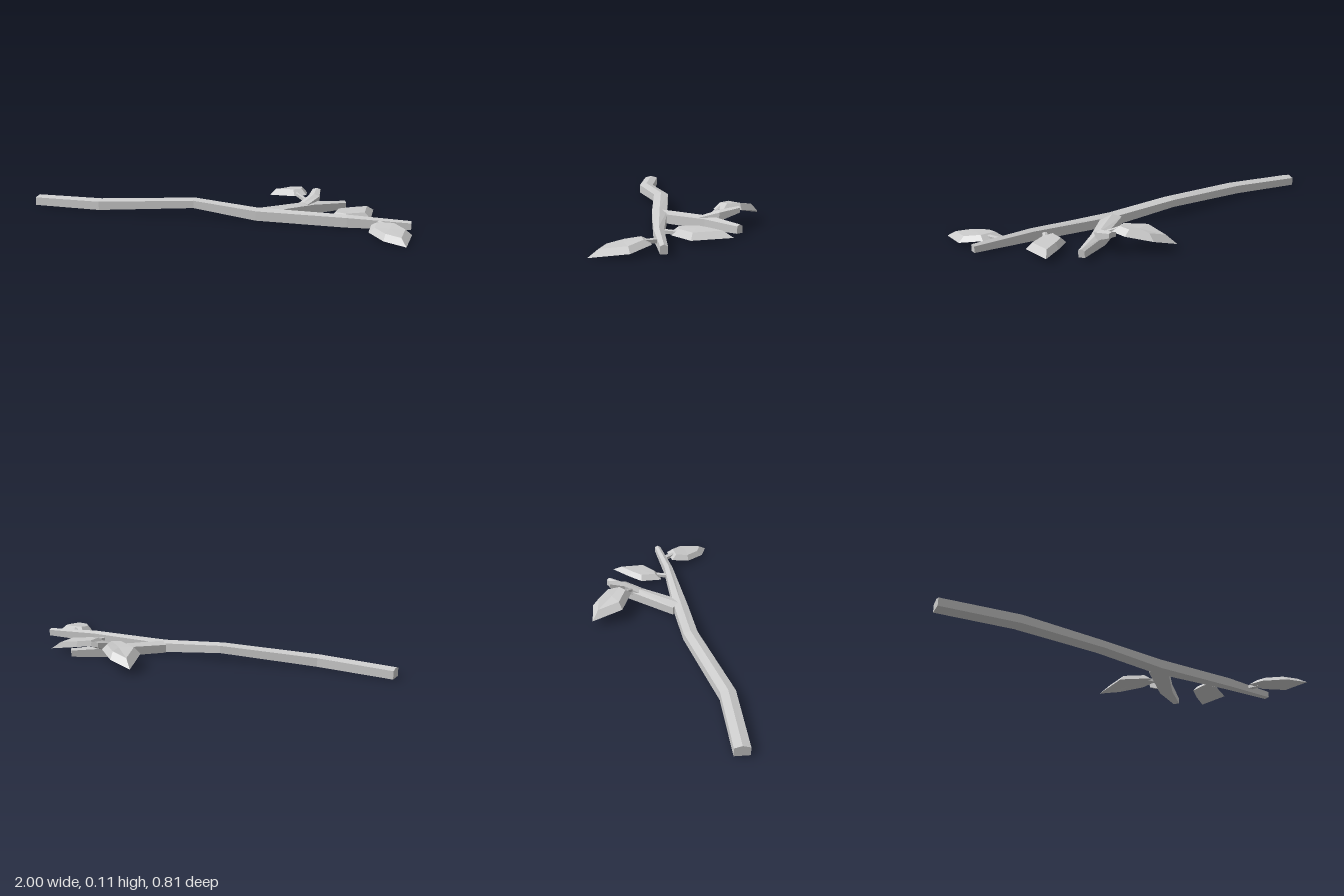
import * as THREE from 'three';

const material = new THREE.MeshStandardMaterial({ color: 0xcccccc, flatShading: true });

function makeMesh(name, points, index) {
  const indexed = new THREE.BufferGeometry();
  indexed.setAttribute('position', new THREE.Float32BufferAttribute(points.flat(), 3));
  indexed.setIndex(index);
  const geometry = indexed.toNonIndexed();
  geometry.computeVertexNormals();
  const mesh = new THREE.Mesh(geometry, material);
  mesh.name = name;
  return mesh;
}

// Five-sided limb with a low top ridge; stations are [x, z, half width, bottom y, top y]
const PROFILE = [[-1, 0], [1, 0], [1, 0.8], [0, 1], [-1, 0.8]];

function limb(name, stations) {
  const n = PROFILE.length, points = [], index = [];
  stations.forEach(([x, z, half, y0, y1], i) => {
    const a = stations[Math.max(i - 1, 0)];
    const b = stations[Math.min(i + 1, stations.length - 1)];
    const dir = new THREE.Vector2(b[0] - a[0], b[1] - a[1]).normalize();
    for (const [u, v] of PROFILE) {
      points.push([x - dir.y * u * half, y0 + (y1 - y0) * v, z + dir.x * u * half]);
    }
    if (i === 0) return;
    for (let k = 0; k < n; k++) {
      const p = (i - 1) * n + k, q = (i - 1) * n + (k + 1) % n;
      index.push(p, p + n, q, p + n, q + n, q);
    }
  });
  const last = (stations.length - 1) * n;
  for (let k = 1; k < n - 1; k++) {
    index.push(0, k, k + 1, last, last + k + 1, last + k);
  }
  return makeMesh(name, points, index);
}

// Thick bevelled leaf: outline runs clockwise from above, starting at the tip
function leaf(name, outline, thickness, inset = 0.7) {
  const n = outline.length;
  const centre = [0, 1, 2].map((c) => outline.reduce((sum, p) => sum + p[c], 0) / n);
  const top = outline.map((p) => {
    const q = p.map((v, c) => centre[c] + (v - centre[c]) * inset);
    return [q[0], q[1] + thickness, q[2]];
  });
  const points = [...outline, ...top, centre, [centre[0], centre[1] + thickness, centre[2]]];
  const index = [];
  for (let k = 0; k < n; k++) {
    const j = (k + 1) % n;
    index.push(2 * n, k, j);
    index.push(2 * n + 1, n + j, n + k);
    index.push(j, k, n + k, j, n + k, n + j);
  }
  return makeMesh(name, points, index);
}

export function createModel() {
  const model = new THREE.Group();
  model.name = 'leafyBranch';

  // Woody parts
  model.add(limb('mainBranch', [
    [-1, 0.075, 0.037, 0.003, 0.055],
    [-0.61, 0.117, 0.038, 0.01, 0.065],
    [-0.11, 0.055, 0.037, 0.04, 0.088],
    [0.23, 0.078, 0.037, 0.003, 0.062],
    [0.68, 0.102, 0.023, 0.003, 0.062],
    [0.98, 0.095, 0.016, 0.01, 0.05],
  ]));
  model.add(limb('sideBranch', [
    [0.24, 0.065, 0.05, 0.005, 0.058],
    [0.45, -0.145, 0.035, 0.005, 0.064],
    [0.61, -0.262, 0.016, 0.013, 0.054],
  ]));
  model.add(limb('upperTwig', [
    [0.42, -0.11, 0.03, 0.03, 0.062],
    [0.46, -0.19, 0.03, 0.045, 0.095],
    [0.455, -0.28, 0.02, 0.082, 0.11],
  ]));

  // Leaf stalks
  model.add(limb('backLeafStalk', [
    [0.44, -0.15, 0.01, 0.05, 0.068], [0.36, -0.205, 0.01, 0.08, 0.1]]));
  model.add(limb('middleLeafStalk', [
    [0.61, 0.095, 0.012, 0.02, 0.04], [0.645, 0.02, 0.012, 0.02, 0.038]]));
  model.add(limb('frontLeafStalk', [
    [0.825, 0.095, 0.014, 0.025, 0.045], [0.865, 0.17, 0.014, 0.03, 0.05]]));

  // Leaves
  model.add(leaf('backLeaf', [
    [0.18, 0.03, -0.41], [0.3, 0.06, -0.39], [0.4, 0.08, -0.3],
    [0.415, 0.082, -0.21], [0.36, 0.08, -0.17], [0.21, 0.065, -0.245],
  ], 0.033));
  model.add(leaf('middleLeaf', [
    [0.765, 0.026, -0.215], [0.775, 0.018, -0.03], [0.655, 0.017, 0.045],
    [0.585, 0.022, 0.04], [0.585, 0.025, -0.075], [0.66, 0.026, -0.14],
  ], 0.028));
  model.add(leaf('frontLeaf', [
    [0.985, 0, 0.4], [0.88, 0.008, 0.355], [0.8, 0.018, 0.25],
    [0.8, 0.032, 0.15], [0.91, 0.034, 0.14], [0.995, 0.016, 0.23],
  ], 0.025));

  return model;
}
